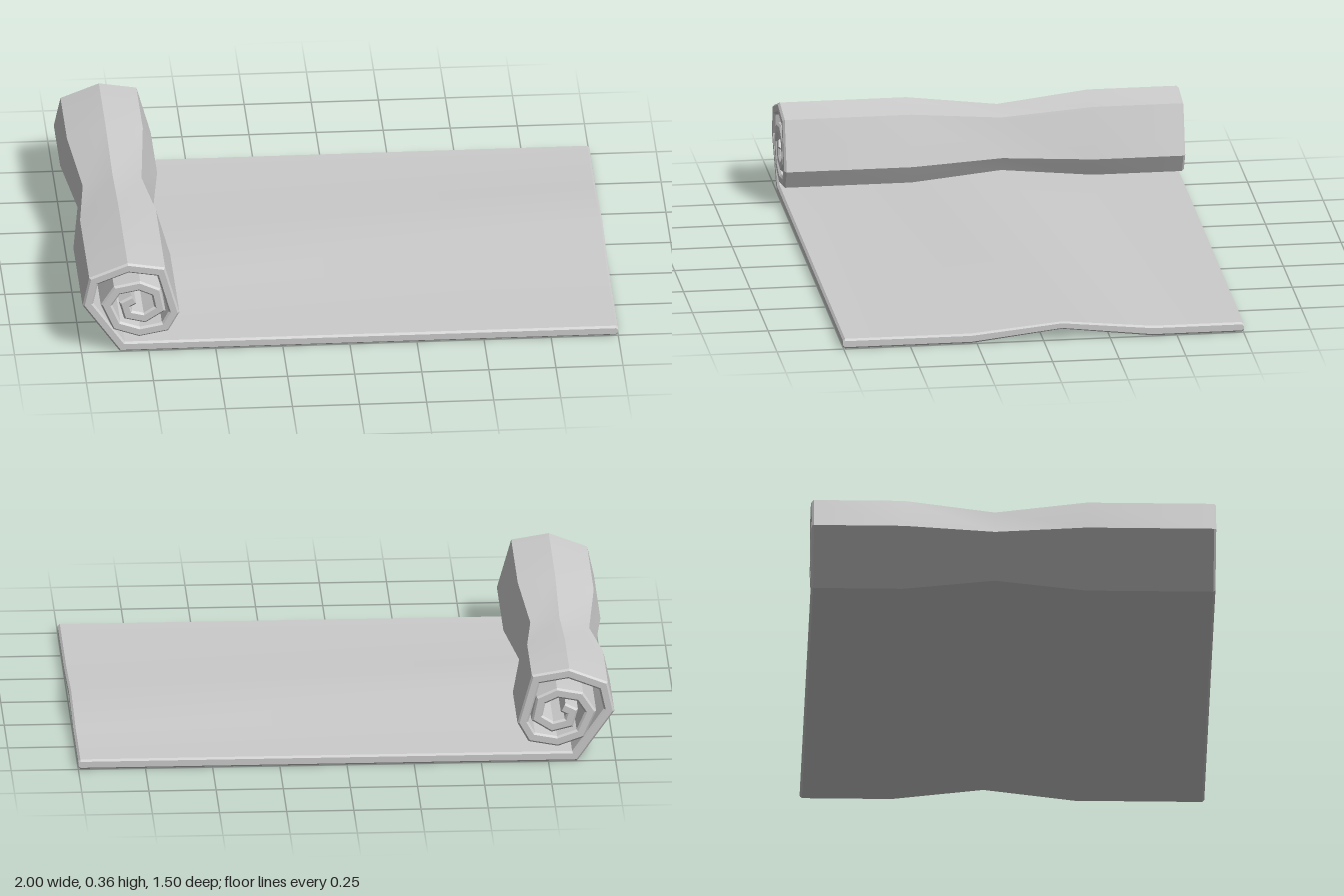
import * as THREE from 'three';
import { toCreasedNormals } from 'three/addons/utils/BufferGeometryUtils.js';

const HALF = 0.0187;          // half the mat thickness
const BEVEL = 0.007;
const ROLL = { x: -0.818, y: 0.182 };

// Centre line of the mat: flat part, then spiralling into the roll
const path = [
  [1, 0.0187], [0.992, 0.0187], [-0.848, 0.0187], [-0.976, 0.198], [-0.955, 0.294],
  [-0.826, 0.344], [-0.703, 0.324], [-0.655, 0.155], [-0.688, 0.096], [-0.784, 0.078],
  [-0.869, 0.107], [-0.907, 0.193], [-0.868, 0.252], [-0.784, 0.268], [-0.722, 0.24],
  [-0.708, 0.171], [-0.765, 0.135], [-0.826, 0.15], [-0.838, 0.193], [-0.805, 0.21],
].map(([x, y]) => new THREE.Vector2(x, y));

// Stations along the roll: z, pinch scale, thickness inset for the bevelled rim
const stations = [
  [0.752, 1, BEVEL], [0.744, 1, 0], [0.27, 1, 0], [-0.07, 0.775, 0],
  [-0.41, 1, 0], [-0.744, 1, 0], [-0.752, 1, BEVEL],
];

// Closed outline of the mat: outer side forward, inner side back
function outline(inset) {
  const outer = [], inner = [];
  const last = path.length - 1;
  path.forEach((p, i) => {
    const before = p.clone().sub(path[Math.max(i - 1, 0)]).normalize();
    const after = path[Math.min(i + 1, last)].clone().sub(p).normalize();
    const dir = before.clone().add(after).normalize();
    const normal = new THREE.Vector2(-dir.y, dir.x);
    const along = i === last ? before : after;
    const miter = 1 / Math.max(0.6, dir.dot(along));
    const h = (HALF - inset - (i === 0 ? BEVEL : 0)) * miter;
    outer.push(p.clone().addScaledVector(normal, h));
    inner.push(p.clone().addScaledVector(normal, -h));
  });
  return [...outer, ...inner.reverse()];
}

function matGeometry() {
  const positions = [], index = [];
  const n = path.length, ring = n * 2;
  const quad = (a, b, c, d) => index.push(a, b, c, a, c, d);

  // Sections are pinched towards the roll axis; the flat part only lifts
  for (const [z, s, inset] of stations) {
    for (const p of outline(inset)) {
      const x = p.x < -0.5 ? ROLL.x + (p.x - ROLL.x) * s : p.x;
      positions.push(x, ROLL.y + (p.y - ROLL.y) * s, z);
    }
  }
  // Walls
  for (let k = 0; k < stations.length - 1; k++) {
    for (let i = 0; i < ring; i++) {
      const j = (i + 1) % ring, a = k * ring, b = a + ring;
      quad(a + i, a + j, b + j, b + i);
    }
  }
  // Spiral end faces
  const back = (stations.length - 1) * ring;
  for (let i = 0; i < n - 1; i++) {
    const q = [i, ring - 1 - i, ring - 2 - i, i + 1];
    quad(...q);
    quad(...q.reverse().map((v) => v + back));
  }

  const geometry = new THREE.BufferGeometry();
  geometry.setAttribute('position', new THREE.Float32BufferAttribute(positions, 3));
  geometry.setIndex(index);
  return toCreasedNormals(geometry, 0.35);
}

export function createModel() {
  const group = new THREE.Group();
  group.name = 'rolledMat';
  const mat = new THREE.Mesh(
    matGeometry(),
    new THREE.MeshStandardMaterial({ color: 0xcccccc, side: THREE.DoubleSide }),
  );
  mat.name = 'mat';
  group.add(mat);
  return group;
}
